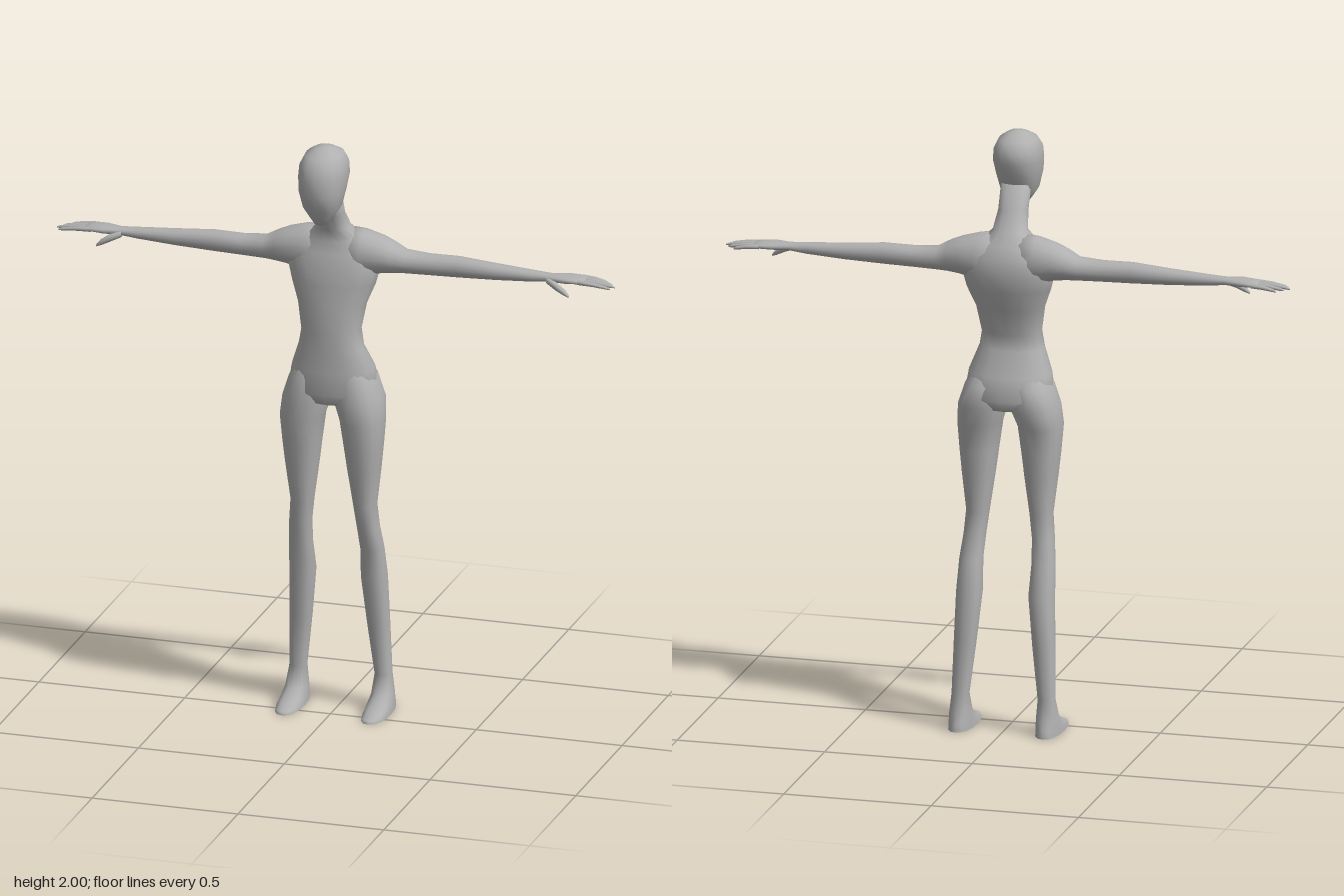
import * as THREE from 'three';

const SIDES = 16;
const skin = new THREE.MeshStandardMaterial({ color: 0xb0b0b0 });
skin.name = 'plain grey';

// Closed smooth skin through rounded sections [t, a0, a1, b0, b1].
// axis 'y': t = y, a = x range, b = z range.  axis 'x': t = x, a = y range, b = z range.
function loft(axis, sections, mirror = false, power = 2.3) {
  const pos = [], idx = [];
  const m = mirror ? -1 : 1;
  const put = (t, a, b) => (axis === 'y' ? pos.push(m * a, t, b) : pos.push(m * t, a, b));
  const round = (v) => Math.sign(v) * Math.abs(v) ** (2 / power);
  for (const [t, a0, a1, b0, b1] of sections) {
    for (let i = 0; i < SIDES; i++) {
      const ang = (i / SIDES) * Math.PI * 2;
      put(t, (a0 + a1) / 2 + ((a1 - a0) / 2) * round(Math.cos(ang)),
        (b0 + b1) / 2 + ((b1 - b0) / 2) * round(Math.sin(ang)));
    }
  }
  const n = sections.length, first = sections[0], last = sections[n - 1];
  for (const [t, a0, a1, b0, b1] of [first, last]) put(t, (a0 + a1) / 2, (b0 + b1) / 2);
  const flips = (axis === 'y') + (last[0] < first[0]) + mirror;
  const tri = (a, b, c) => (flips % 2 ? idx.push(a, c, b) : idx.push(a, b, c));
  const pole = n * SIDES;
  for (let i = 0; i < SIDES; i++) {
    const j = (i + 1) % SIDES;
    for (let s = 0; s < n - 1; s++) {
      const p = s * SIDES, q = p + SIDES;
      tri(p + i, p + j, q + j);
      tri(p + i, q + j, q + i);
    }
    tri(pole, j, i);
    tri(pole + 1, pole - SIDES + i, pole - SIDES + j);
  }
  const g = new THREE.BufferGeometry();
  g.setAttribute('position', new THREE.Float32BufferAttribute(pos, 3));
  g.setIndex(idx);
  g.computeVertexNormals();
  return g;
}

// Symmetric section given as [y, half width, back z, front z]
const centred = (rows) => rows.map(([y, r, b, f]) => [y, -r, r, b, f]);

const torso = centred([
  [1.08, 0.03, -0.06, 0.02], [1.092, 0.11, -0.125, 0.05], [1.13, 0.152, -0.147, 0.068],
  [1.205, 0.14, -0.127, 0.063], [1.285, 0.11, -0.082, 0.063], [1.34, 0.1, -0.085, 0.063],
  [1.43, 0.115, -0.11, 0.06], [1.5, 0.142, -0.14, 0.052], [1.56, 0.158, -0.148, 0.048],
  [1.61, 0.14, -0.143, 0.03], [1.65, 0.1, -0.12, 0.02], [1.69, 0.057, -0.09, 0.022],
  [1.75, 0.049, -0.042, 0.056], [1.83, 0.05, -0.002, 0.09],
]);

const head = centred([
  [1.743, 0.02, 0.09, 0.122], [1.765, 0.038, 0.05, 0.137], [1.8, 0.062, 0.015, 0.157],
  [1.855, 0.074, -0.012, 0.18], [1.905, 0.08, -0.035, 0.173], [1.945, 0.077, -0.032, 0.165],
  [1.975, 0.062, -0.012, 0.137], [1.994, 0.033, 0.025, 0.1], [2.0, 0.012, 0.05, 0.08],
]);

// Hip to sole; the last ring is repeated to keep the sole edge sharp
const leg = [
  [1.25, 0.03, 0.1, -0.07, 0.03], [1.17, 0.01, 0.145, -0.135, 0.058], [1.1, 0.006, 0.168, -0.146, 0.067],
  [1.03, 0.03, 0.175, -0.118, 0.063], [0.94, 0.042, 0.168, -0.107, 0.048], [0.86, 0.052, 0.16, -0.1, 0.035],
  [0.73, 0.07, 0.145, -0.085, 0.01], [0.65, 0.08, 0.152, -0.09, 0], [0.57, 0.084, 0.161, -0.108, -0.026],
  [0.465, 0.08, 0.165, -0.138, -0.04], [0.3, 0.096, 0.17, -0.141, -0.063], [0.12, 0.117, 0.175, -0.143, -0.085],
  [0.055, 0.111, 0.183, -0.158, -0.052], [0.025, 0.107, 0.188, -0.17, 0.015],
  [0.01, 0.105, 0.19, -0.174, 0.06], [0, 0.104, 0.191, -0.175, 0.063], [0, 0.104, 0.191, -0.175, 0.063],
];

// Shoulder to palm
const arm = [
  [0.03, 1.5, 1.685, -0.125, 0.02], [0.1, 1.52, 1.677, -0.132, 0.02], [0.16, 1.536, 1.66, -0.125, 0.01],
  [0.2, 1.541, 1.643, -0.115, 0], [0.24, 1.543, 1.621, -0.105, -0.014], [0.32, 1.545, 1.615, -0.099, -0.02],
  [0.42, 1.547, 1.617, -0.095, -0.025], [0.55, 1.552, 1.606, -0.092, -0.03],
  [0.68, 1.56, 1.597, -0.085, -0.037], [0.74, 1.567, 1.593, -0.083, -0.037],
  [0.79, 1.568, 1.595, -0.1, -0.025], [0.83, 1.57, 1.592, -0.105, -0.028], [0.855, 1.573, 1.588, -0.1, -0.034],
];

const thumb = [
  [0.73, 1.564, 1.585, -0.055, -0.03], [0.765, 1.549, 1.576, -0.04, -0.014],
  [0.795, 1.535, 1.556, -0.033, -0.013], [0.81, 1.53, 1.537, -0.026, -0.018],
];

// Fingers: [base z, tip z, tip x], little finger first
const fingers = [[-0.096, -0.1, 0.92], [-0.077, -0.08, 0.942], [-0.058, -0.06, 0.957], [-0.039, -0.04, 0.945]];
function finger([z0, z1, tip]) {
  return [[0, 1.58, 0.008, 0.009], [0.5, 1.577, 0.007, 0.008], [0.9, 1.571, 0.005, 0.006], [1, 1.568, 0.002, 0.002]]
    .map(([k, y, ry, rz]) => {
      const z = z0 + (z1 - z0) * k;
      return [0.835 + (tip - 0.835) * k, y - ry, y + ry, z - rz, z + rz];
    });
}

export function createModel() {
  const model = new THREE.Group();
  model.name = 'figure';
  const add = (parent, name, geometry) => {
    const mesh = new THREE.Mesh(geometry, skin);
    mesh.name = name;
    parent.add(mesh);
  };

  add(model, 'torsoAndNeck', loft('y', torso));
  add(model, 'head', loft('y', head));

  for (const [side, mirror] of [['left', false], ['right', true]]) {
    add(model, `${side}Leg`, loft('y', leg, mirror));
    const limb = new THREE.Group();
    limb.name = `${side}ArmAndHand`;
    add(limb, `${side}Arm`, loft('x', arm, mirror, 2.1));
    add(limb, `${side}Thumb`, loft('x', thumb, mirror, 2));
    fingers.forEach((f, i) => add(limb, `${side}Finger${i + 1}`, loft('x', finger(f), mirror, 2)));
    model.add(limb);
  }
  return model;
}
